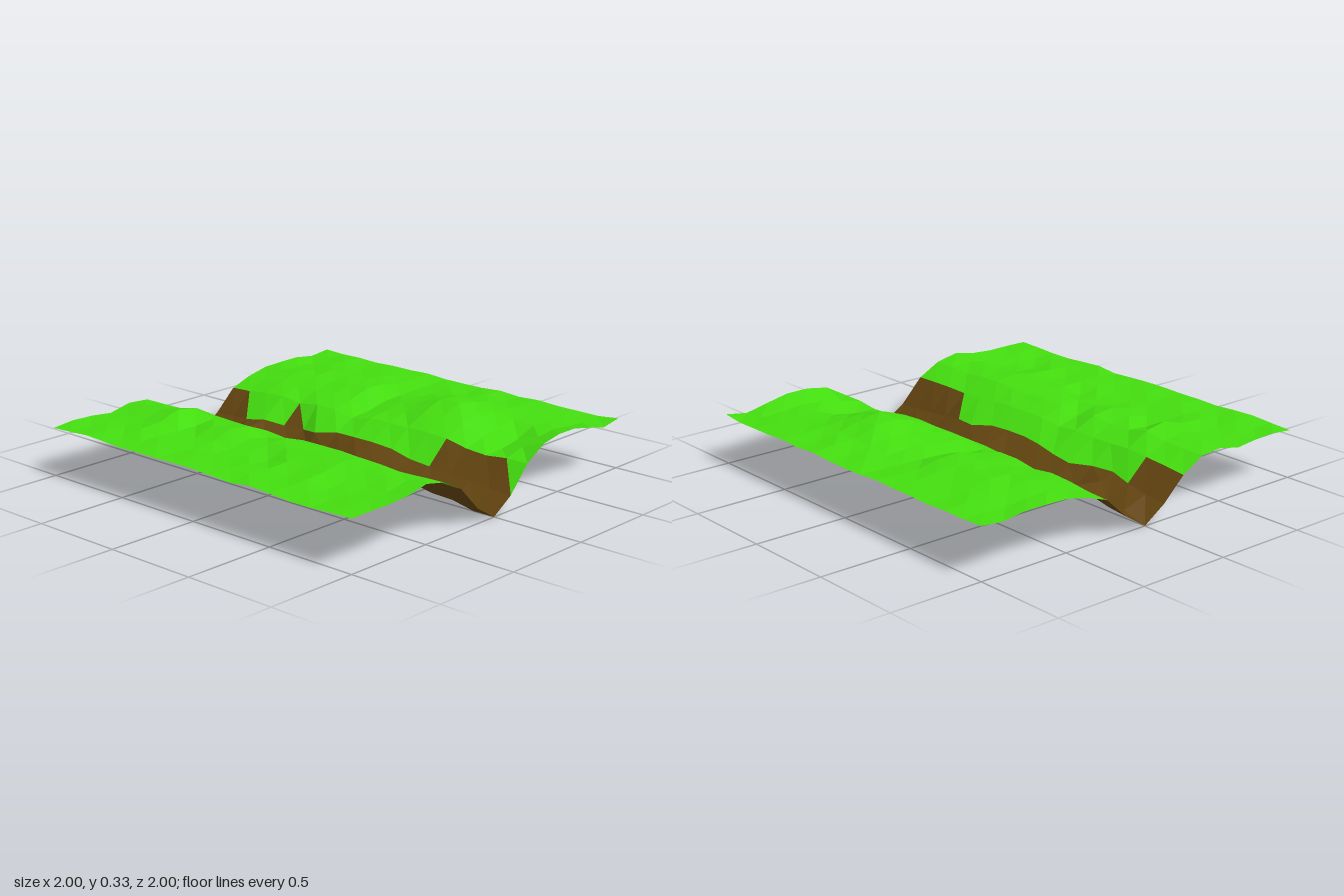
import * as THREE from 'three';

const N = 16, STEP = 2 / N;

// Resting height of each column of the grid, from x = -1 to x = 1
const profile = [.257, .255, .25, .252, .275, .26, .222, 0, 0, 0, .22, .243, .265, .265, .258, .255, .257];

// Stream bed, one value per row from z = -1 to z = 1: floor height, floor x, bank heights and bank x
const floorY = [0, .045, .05, .1, .05, .045, .06, .07, .08, .105, .1, .08, .06, .03, .025, 0, 0];
const floorX = [0, .015, 0, -.07, -.02, .04, .04, .03, .01, 0, 0, 0, 0, 0, 0, 0, 0];
const leftY = [.08, .09, .11, .13, .13, .12, .13, .145, .15, .15, .145, .125, .12, .1, .09, .08, .075];
const leftX = [.125, .125, .13, .15, .13, .09, .1, .115, .13, .13, .125, .09, .11, .12, .125, .125, .125];
const rightY = [.08, .09, .1, .12, .11, .11, .13, .15, .155, .155, .145, .12, .11, .1, .09, .08, .075];
const rightX = [.125, .12, .1, .11, .13, .145, .1, .13, .12, .12, .125, .12, .12, .125, .125, .125, .125];

// Hills and hollows: x, z, height, radius in x, radius in z
const bumps = [
  [.52, .32, .062, .24, .2],
  [.5, 1, .035, .22, .1],
  [.42, .74, -.055, .17, .12],
  [.5, -.1, -.035, .26, .09],
  [.5, -.3, .02, .22, .1],
  [.55, -.62, .02, .25, .16],
  [-.5, -.64, .03, .25, .1],
  [-.5, -.48, -.03, .12, .06],
  [-.4, -.27, .02, .2, .08],
  [-.4, -.12, -.018, .2, .07],
  [-.63, .08, -.038, .09, .09],
  [-.5, .45, .015, .25, .15],
  [-.8, .7, -.01, .2, .1],
  [.85, .9, -.01, .15, .15],
  [-.6, 1, .012, .25, .12],
];

// Small repeatable roughness
function rough(i, j) {
  const s = Math.sin(i * 12.99 + j * 78.23) * 437.58;
  return (s - Math.floor(s) - .5) * .016;
}

function point(i, j) {
  const z = -1 + j * STEP;
  if (i === 7) return new THREE.Vector3(-leftX[j], leftY[j], z);
  if (i === 8) return new THREE.Vector3(floorX[j], floorY[j], z);
  if (i === 9) return new THREE.Vector3(rightX[j], rightY[j], z);
  const x = -1 + i * STEP;
  let y = profile[i] + rough(i, j);
  for (const [bx, bz, h, rx, rz] of bumps) {
    y += h * Math.exp(-(((x - bx) / rx) ** 2) - ((z - bz) / rz) ** 2);
  }
  // Shoulders of the stream bed sink a little towards both ends
  if (i === 6 || i === 10) y -= .02 * Math.abs(z);
  return new THREE.Vector3(x, y, z);
}

// Bare earth along the stream; half is 0 or 1 for the two triangles of a cell
function isEarth(i, j, half) {
  if (i === 7 || i === 8) return true;
  if (i === 6) return j < 2 || j > 12 || (j === 12 && half === 1);
  if (i === 9) {
    if (j === 0 || (j >= 12 && j <= 14)) return true;
    return half === 0 && (j === 1 || j === 4 || j === 15);
  }
  return false;
}

function surface(name, points, color) {
  const geometry = new THREE.BufferGeometry().setFromPoints(points);
  geometry.computeVertexNormals();
  const mesh = new THREE.Mesh(geometry, new THREE.MeshStandardMaterial({
    color, flatShading: true, side: THREE.DoubleSide,
  }));
  mesh.name = name;
  return mesh;
}

export function createModel() {
  const grass = [], earth = [];
  for (let j = 0; j < N; j++) {
    for (let i = 0; i < N; i++) {
      const a = point(i, j), b = point(i, j + 1);
      const c = point(i + 1, j + 1), d = point(i + 1, j);
      [[a, b, d], [b, c, d]].forEach((tri, half) => {
        (isEarth(i, j, half) ? earth : grass).push(...tri);
      });
    }
  }
  const group = new THREE.Group();
  group.name = 'valleyTerrain';
  group.add(surface('grassBanks', grass, 0x44dd0f));
  group.add(surface('streamBed', earth, 0x61430f));
  return group;
}
